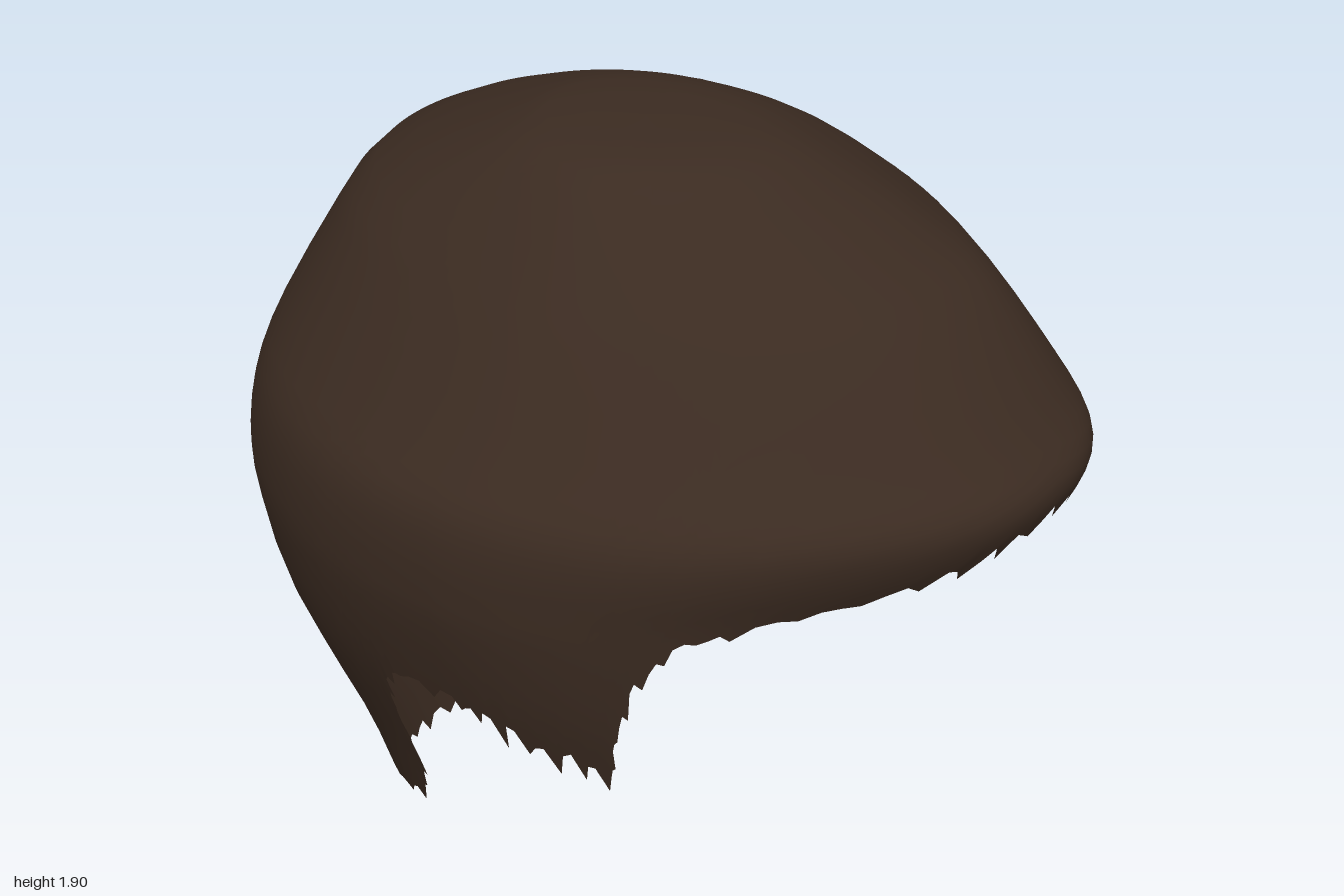
import * as THREE from 'three';

// Cross-sections from crown down: y, front z, back z, right x, left x
const SECTIONS = [
  [1.925, 0, 0, -0.06, -0.06],
  [1.915, 0.2, -0.22, -0.24, 0.12],
  [1.88, 0.33, -0.34, -0.34, 0.25],
  [1.8, 0.46, -0.54, -0.43, 0.4],
  [1.7, 0.61, -0.74, -0.52, 0.53],
  [1.6, 0.75, -0.82, -0.6, 0.63],
  [1.4, 0.92, -0.92, -0.74, 0.76],
  [1.3, 1.0, -0.95, -0.81, 0.8],
  [1.2, 0.975, -0.98, -0.83, 0.82],
  [1.1, 0.91, -1.0, -0.83, 0.825],
  [1.0, 0.88, -1.0, -0.82, 0.82],
  [0.8, 0.86, -0.975, -0.77, 0.77],
  [0.6, 0.85, -0.91, -0.69, 0.72],
  [0.4, 0.84, -0.825, -0.61, 0.67],
  [0.2, 0.8, -0.75, -0.55, 0.59],
  [0.0, 0.75, -0.7, -0.5, 0.53],
];

// Cut edge on one side: angle (-90 nape, 0 ear, 90 fringe), height, raggedness
const HEM = [
  [-90, 0.03, 0.04], [-75, 0.05, 0.04], [-64, 0.08, 0.03], [-55, 0.15, 0.03],
  [-43, 0.22, 0.01], [-30, 0.24, 0.01], [-21.5, 0.28, 0.03], [-18, 0.38, 0.05],
  [-15.5, 0.6, 0.04], [-13, 0.73, 0.04], [-9, 0.8, 0.03], [0, 0.79, 0.03],
  [5, 0.74, 0.08], [11, 0.7, 0.08], [18, 0.68, 0.08], [23, 0.64, 0.05],
  [25.5, 0.78, 0.03], [29, 0.93, 0.03], [34, 1.04, 0.02], [41, 1.08, 0.03],
  [55, 1.12, 0.03], [70, 1.16, 0.04], [80, 1.19, 0.05], [90, 1.22, 0.05],
];

const STEPS = 5; // columns per hem segment
const ROWS = 26;

let seed = 7;
const random = () => (seed = (seed * 16807) % 2147483647) / 2147483647;

const section = new THREE.CubicInterpolant(
  SECTIONS.map((_, i) => i), SECTIONS.flat(), 5);

// Section level at which the surface reaches a height
function levelAt(y) {
  const last = SECTIONS.length - 1;
  for (let i = 0; i < last; i++) {
    const a = SECTIONS[i][0], b = SECTIONS[i + 1][0];
    if (y >= b) return i + (a - y) / (a - b);
  }
  return last;
}

function surfacePoint(level, phi) {
  const [y, front, back, right, left] = section.evaluate(level);
  const c = Math.cos(phi), s = Math.sin(phi);
  const middle = (left + right) / 2, half = (left - right) / 2;
  const fade = Math.min(1, level / 5);
  // Soft swells in the hair, fading out at the crown
  const swell = 1 + 0.008 * Math.sin(phi * 7 + y * 3) * fade * c * c;
  // Narrow towards the forehead with a blunt tip, full at the back of the head
  const fullness = 1 + fade * (s > 0 ? 0.2 * s ** 10 - 0.21 * s * s : 0.17 * s * s);
  const lean = 0.07 * Math.abs(s) ** 3 * fade;
  return [middle + half * c * swell * fullness + lean, y, (s > 0 ? front : -back) * s * swell];
}

// Even samples along the hem of one side
function hemSide() {
  const out = [];
  for (let i = 0; i < HEM.length - 1; i++) {
    for (let k = 0; k < STEPS; k++) {
      out.push(HEM[i].map((v, n) => THREE.MathUtils.lerp(v, HEM[i + 1][n], k / STEPS)));
    }
  }
  out.push(HEM[HEM.length - 1]);
  return out;
}

function hairGeometry() {
  const side = hemSide();
  const mirrored = side.slice(1, -1).reverse().map(([a, y, r]) => [180 - a, y, r]);
  const columns = [...side, ...mirrored];
  const positions = [], indices = [];
  columns.forEach(([angle, y, ragged], i) => {
    const phi = THREE.MathUtils.degToRad(angle);
    const end = levelAt(y);
    // Every few columns one strand hangs lower or is notched higher
    const strand = i % 3 === 0 ? -random() : random() * 0.5;
    for (let k = 0; k <= ROWS; k++) {
      const level = k === ROWS ? levelAt(Math.max(0, y + strand * ragged)) : end * k / ROWS;
      positions.push(...surfacePoint(level, phi));
    }
  });
  const stride = ROWS + 1;
  for (let i = 0; i < columns.length; i++) {
    const j = (i + 1) % columns.length;
    for (let k = 0; k < ROWS; k++) {
      const a = i * stride + k, c = j * stride + k;
      if (k > 0) indices.push(a, c, c + 1);
      indices.push(a, c + 1, a + 1);
    }
  }
  const geometry = new THREE.BufferGeometry();
  geometry.setAttribute('position', new THREE.Float32BufferAttribute(positions, 3));
  geometry.setIndex(indices);
  geometry.computeVertexNormals();
  return geometry;
}

export function createModel() {
  const brown = new THREE.MeshStandardMaterial({ color: 0x3b2b21, side: THREE.DoubleSide });
  brown.name = 'darkBrownHair';
  const hair = new THREE.Mesh(hairGeometry(), brown);
  hair.name = 'hairShell';
  const model = new THREE.Group();
  model.name = 'hair';
  model.add(hair);
  return model;
}
